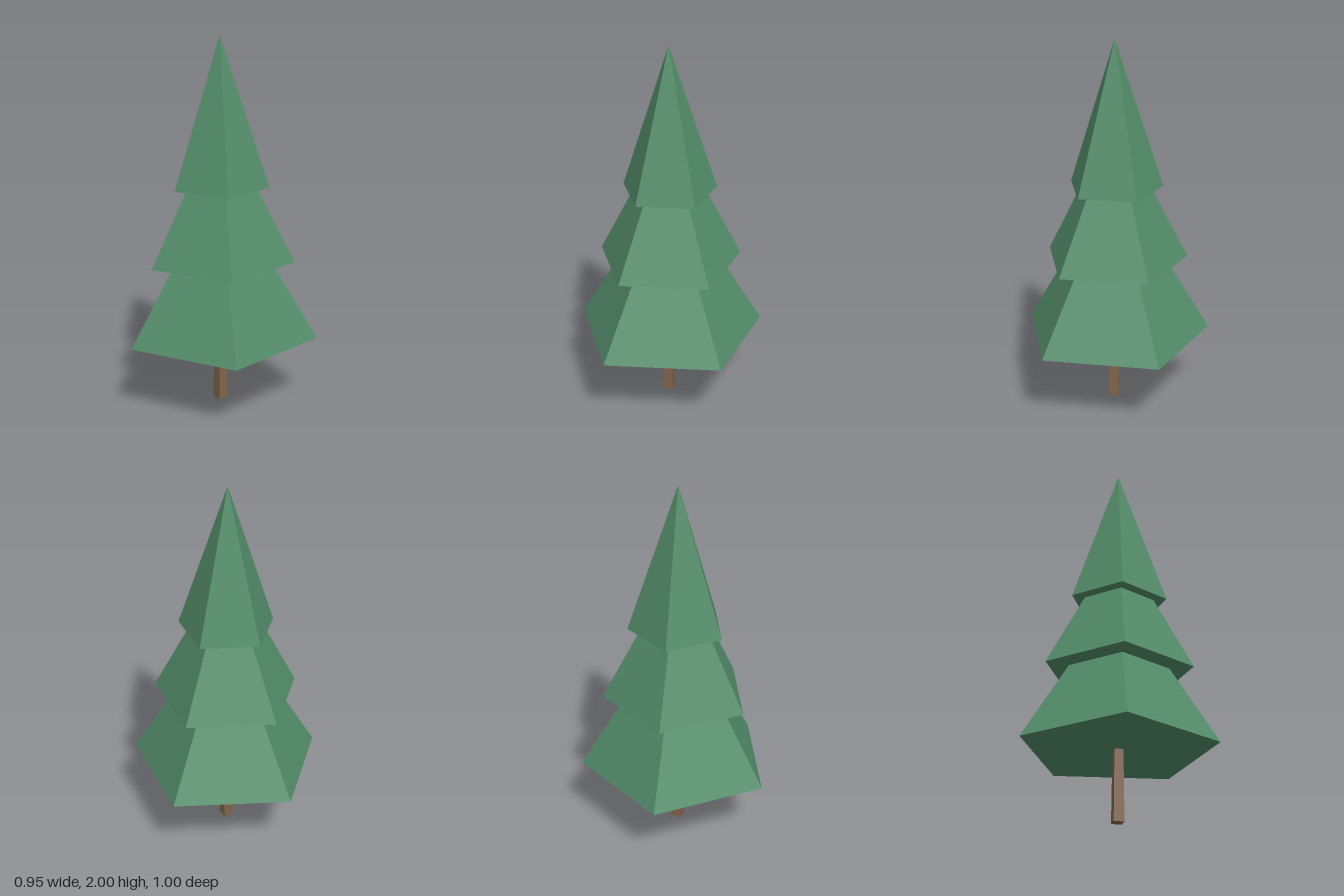
import * as THREE from 'three';

export function createModel() {
  const tree = new THREE.Group();
  tree.name = 'pineTree';

  const needles = new THREE.MeshStandardMaterial({ color: 0x538d6a });
  needles.name = 'needle green';
  const bark = new THREE.MeshStandardMaterial({ color: 0x80634a });
  bark.name = 'bark brown';

  const axisX = -0.05; // five-sided tiers reach further towards +x

  function addPart(name, geometry, material, y) {
    const flat = geometry.toNonIndexed();
    flat.computeVertexNormals(); // faceted shading
    const mesh = new THREE.Mesh(flat, material);
    mesh.name = name;
    mesh.position.set(axisX, y, 0);
    tree.add(mesh);
  }

  // Square tapered trunk, corners on the axes
  const trunkHeight = 0.42;
  addPart('trunk', new THREE.CylinderGeometry(0.032, 0.039, trunkHeight, 4), bark, trunkHeight / 2);

  // Three stacked five-sided foliage cones, one corner towards +x
  const tiers = [
    { name: 'lowerFoliage', base: 0.38, apex: 1.26, radius: 0.525 },
    { name: 'middleFoliage', base: 0.803, apex: 1.58, radius: 0.4 },
    { name: 'topFoliage', base: 1.207, apex: 2, radius: 0.262 },
  ];
  for (const { name, base, apex, radius } of tiers) {
    const height = apex - base;
    const cone = new THREE.ConeGeometry(radius, height, 5);
    cone.rotateY(Math.PI / 2);
    addPart(name, cone, needles, base + height / 2);
  }

  return tree;
}
